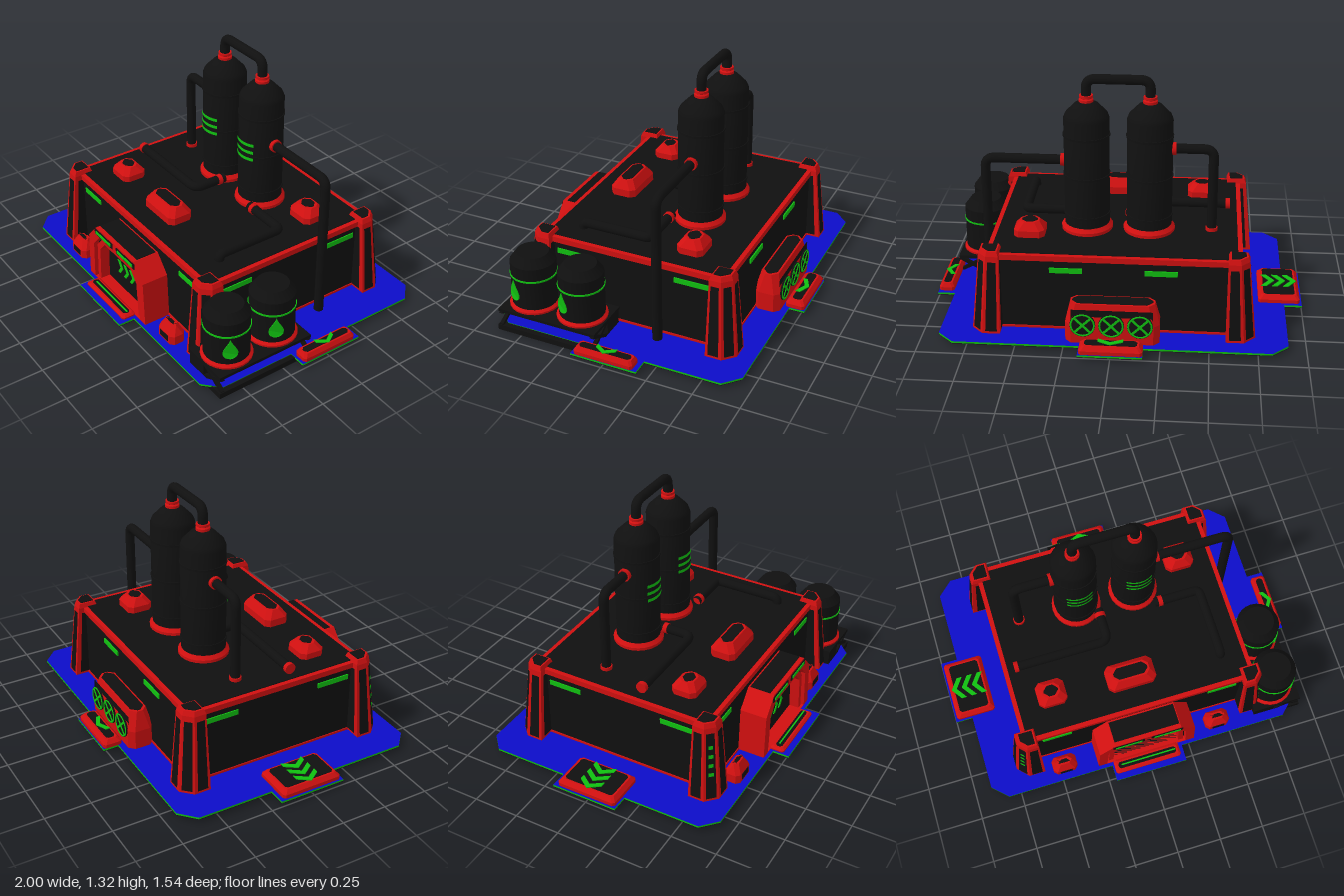
import * as THREE from 'three';
import { toCreasedNormals } from 'three/addons/utils/BufferGeometryUtils.js';

const paint = (name, color) => Object.assign(new THREE.MeshStandardMaterial({ color }), { name });

export function createModel() {
  const black = paint('black', 0x101010), red = paint('red', 0xd01010);
  const green = paint('green', 0x10c010), blue = paint('blue', 0x0c0cc8);
  const model = new THREE.Group();
  model.name = 'refinery';

  const add = (name, geo, mat, x = 0, y = 0, z = 0, parent = model) => {
    const m = new THREE.Mesh(geo, mat);
    m.name = name;
    m.position.set(x, y, z);
    parent.add(m);
    return m;
  };
  // box given by its limits
  const box = (name, mat, x0, x1, y0, y1, z0, z1) =>
    add(name, new THREE.BoxGeometry(x1 - x0, y1 - y0, z1 - z0), mat, (x0 + x1) / 2, (y0 + y1) / 2, (z0 + z1) / 2);
  // flat-shaded solid through stacked rings, counter-clockwise from above
  const loft = (rings) => {
    const p = [], n = rings[0].length, last = rings[rings.length - 1];
    const tri = (a, b, c) => p.push(...a, ...b, ...c);
    for (let i = 0; i + 1 < rings.length; i++) for (let j = 0; j < n; j++) {
      const k = (j + 1) % n, a = rings[i], b = rings[i + 1];
      tri(a[j], a[k], b[k]);
      tri(a[j], b[k], b[j]);
    }
    for (let j = 1; j + 1 < n; j++) {
      tri(last[0], last[j], last[j + 1]);
      tri(rings[0][0], rings[0][j + 1], rings[0][j]);
    }
    const g = new THREE.BufferGeometry();
    g.setAttribute('position', new THREE.Float32BufferAttribute(p, 3));
    g.computeVertexNormals();
    return g;
  };
  // rectangle with cut corners
  const ring = (x0, x1, z0, z1, y, c) => [[x1 - c, z1], [x1, z1 - c], [x1, z0 + c], [x1 - c, z0],
    [x0 + c, z0], [x0, z0 + c], [x0, z1 - c], [x0 + c, z1]].map(([x, z]) => [x, y, z]);
  // bevelled red block with a black lid
  const block = (name, x0, x1, z0, z1, y0, y1, e = 0.03, c = 0.025) => {
    const shrink = (d, y) => ring(x0 + d, x1 - d, z0 + d, z1 - d, y, c);
    add(name, loft([shrink(0, y0), shrink(0, y0 + (y1 - y0) * 0.5), shrink(e, y1)]), red);
    add(name + 'Lid', loft([shrink(e + 0.01, y1 - 0.002), shrink(e + 0.01, y1 + 0.003)]), black);
  };
  const shapeOf = (pts) => new THREE.Shape(pts.map(([x, y]) => new THREE.Vector2(x, y)));
  const extrude = (shape, depth) => new THREE.ExtrudeGeometry(shape, { depth, bevelEnabled: false, curveSegments: 8 });
  const chevron = (w, h, t) => extrude(shapeOf([[-w / 2, -h / 2], [t - w / 2, -h / 2], [w / 2, 0],
    [t - w / 2, h / 2], [-w / 2, h / 2], [w / 2 - t, 0]]), 0.005);
  // chevron lying flat, pointing along the given heading
  const floorChevron = (x, y, z, heading, w, h, t) =>
    add('rampChevron', chevron(w, h, t).rotateX(-Math.PI / 2).rotateY(heading), green, x, y, z);
  const lathe = (pts, seg = 24) =>
    toCreasedNormals(new THREE.LatheGeometry(pts.map(([r, y]) => new THREE.Vector2(r, y)), seg), 0.5);
  // pipe with rounded corners
  const pipe = (name, pts, r = 0.026, bend = 0.05) => {
    const v = pts.map((p) => new THREE.Vector3(...p)), path = new THREE.CurvePath();
    let from = v[0];
    for (let i = 1; i < v.length; i++) {
      if (i === v.length - 1) { path.add(new THREE.LineCurve3(from, v[i])); break; }
      const a = v[i].clone().add(v[i - 1].clone().sub(v[i]).setLength(bend));
      const b = v[i].clone().add(v[i + 1].clone().sub(v[i]).setLength(bend));
      path.add(new THREE.LineCurve3(from, a));
      path.add(new THREE.QuadraticBezierCurve3(a, v[i], b));
      from = b;
    }
    add(name, new THREE.TubeGeometry(path, 72, r, 12), black);
  };
  const collar = (x, y, z, axis, r = 0.034) => {
    const m = add('pipeCollar', new THREE.CylinderGeometry(r, r, 0.024, 14), red, x, y, z);
    if (axis === 'x') m.rotation.z = Math.PI / 2;
    if (axis === 'z') m.rotation.x = Math.PI / 2;
  };

  // ground plate: blue top, green rim, black underside
  const outline = shapeOf([[-0.82, -0.68], [-0.21, -0.68], [-0.21, -0.77], [0.205, -0.77], [0.205, -0.68],
    [0.82, -0.68], [0.905, -0.6], [0.905, -0.175], [1, -0.175], [1, 0.195], [0.905, 0.195], [0.905, 0.61],
    [0.82, 0.69], [0.165, 0.69], [0.165, 0.775], [-0.165, 0.775], [-0.165, 0.69], [-0.82, 0.69],
    [-0.905, 0.61], [-0.905, 0.195], [-1, 0.195], [-1, -0.175], [-0.905, -0.175], [-0.905, -0.6]]);
  add('groundPlate', extrude(outline, 0.01).rotateX(-Math.PI / 2), [blue, green], 0, 0.028);
  add('groundUnderside', extrude(outline, 0.002).rotateX(-Math.PI / 2), black, 0, 0.0255);

  // main building
  box('walls', black, -0.645, 0.645, 0.038, 0.44, -0.52, 0.51);
  box('wallFoot', red, -0.65, 0.65, 0.038, 0.05, -0.525, 0.515);
  box('roofTrim', red, -0.66, 0.66, 0.435, 0.465, -0.53, 0.52);
  box('roof', black, -0.635, 0.635, 0.46, 0.469, -0.505, 0.495);

  // light strips on the walls
  for (const s of [-1, 1]) {
    const strip = (x, z, w, d) => box('lightStrip', green, x - w / 2, x + w / 2, 0.367, 0.395, z - d / 2, z + d / 2);
    strip(s * 0.474, 0.511, 0.165, 0.008);
    strip(s * 0.245, -0.523, 0.17, 0.008);
    for (const z of [-0.335, 0.335]) strip(s * 0.647, z, 0.008, 0.19);
  }

  // sloping corner pillars with inset panels and front lights
  const facePanel = (name, a, b, j, u0, u1, v0, v1, mat, off) => {
    const k = (j + 1) % a.length, V = (p) => new THREE.Vector3(...p);
    const at = (u, v) => V(a[j]).lerp(V(a[k]), u).lerp(V(b[j]).lerp(V(b[k]), u), v);
    const q = [at(u0, v0), at(u1, v0), at(u1, v1), at(u0, v1)];
    const n = q[1].clone().sub(q[0]).cross(q[3].clone().sub(q[0])).setLength(off);
    q.forEach((p) => p.add(n));
    const g = new THREE.BufferGeometry().setFromPoints([q[0], q[1], q[2], q[0], q[2], q[3]]);
    g.computeVertexNormals();
    add(name, g, mat);
  };
  for (const sx of [-1, 1]) for (const sz of [-1, 1]) {
    const flip = sx * sz < 0;
    const section = (ox, oz, c, y, i = 0) => {
      const ix = 0.585 + i, iz = 0.45 + i;
      const r = [[ox - c, oz], [ox, oz - c], [ox, iz], [ix, iz], [ix, oz]].map(([x, z]) => [sx * x, y, sz * z]);
      return flip ? r.reverse() : r;
    };
    const foot = section(0.738, 0.6, 0.06, 0.038), head = section(0.695, 0.56, 0.045, 0.465);
    add('cornerPillar', loft([foot, head, section(0.685, 0.55, 0.04, 0.49, 0.008)]), red);
    add('pillarCap', loft([section(0.675, 0.54, 0.035, 0.488, 0.016), section(0.675, 0.54, 0.035, 0.494, 0.016)]), black);
    const corner = flip ? 3 : 0;
    for (let j = 0; j < 5; j++) facePanel('pillarPanel', foot, head, j, 0.17, 0.83, 0.03, 0.93, black, 0.002);
    if (sz > 0) for (let i = 0; i < 4; i++)
      facePanel('pillarLight', foot, head, corner, 0.32, 0.68, 0.34 + i * 0.125, 0.39 + i * 0.125, green, 0.004);
  }

  // entrance: nested arches, door and step
  const archPts = (w, h, c) => [[-w, 0.038], [w, 0.038], [w - 0.01, h - c], [w - c, h], [c - w, h], [0.01 - w, h - c]];
  const arch = (name, w, h, c, w2, h2, c2, z0, z1, mat) => {
    const s = shapeOf(archPts(w, h, c));
    s.holes.push(new THREE.Path(archPts(w2, h2, c2).reverse().map(([x, y]) => new THREE.Vector2(x, y + (y < 0.05 ? 0.001 : 0)))));
    add(name, extrude(s, z1 - z0), mat, 0, 0, z0);
  };
  arch('outerArch', 0.285, 0.39, 0.095, 0.235, 0.34, 0.075, 0.5, 0.66, red);
  arch('archGap', 0.236, 0.341, 0.076, 0.222, 0.328, 0.07, 0.5, 0.63, black);
  arch('innerArch', 0.223, 0.329, 0.07, 0.195, 0.3, 0.06, 0.5, 0.645, red);
  add('door', extrude(shapeOf(archPts(0.2, 0.305, 0.06)), 0.09), black, 0, 0, 0.5);
  box('archRoof', black, -0.185, 0.185, 0.386, 0.394, 0.52, 0.635);
  for (const s of [-1, 1]) {
    box('archPlate', black, s * 0.11 - 0.09, s * 0.11 + 0.09, 0.347, 0.38, 0.657, 0.664);
    box('archLight', green, s * 0.11 - 0.075, s * 0.11 + 0.075, 0.355, 0.372, 0.66, 0.668);
  }
  for (let i = -1; i <= 1; i++) add('doorChevron', chevron(0.05, 0.08, 0.022), green, i * 0.06 - 0.005, 0.17, 0.59);
  block('frontStep', -0.2, 0.185, 0.655, 0.735, 0.036, 0.055, 0.012, 0.01);
  box('stepLight', green, -0.16, 0.16, 0.057, 0.061, 0.69, 0.698);

  // low vents beside the entrance
  for (const [x0, x1] of [[-0.54, -0.4], [0.368, 0.508]]) {
    block('groundVent', x0, x1, 0.55, 0.64, 0.036, 0.14, 0.025, 0.02);
    box('ventGrille', black, x0 + 0.035, x1 - 0.035, 0.05, 0.085, 0.637, 0.643);
  }

  // ramps on three sides
  block('leftRamp', -0.99, -0.765, -0.175, 0.165, 0.036, 0.078, 0.018, 0.012);
  for (let i = 0; i < 3; i++) floorChevron(-0.94 + i * 0.06, 0.081, -0.005, Math.PI, 0.075, 0.125, 0.03);
  block('rightRamp', 0.915, 0.998, -0.17, 0.16, 0.036, 0.078, 0.012, 0.012);
  floorChevron(0.957, 0.081, -0.005, 0, 0.06, 0.11, 0.024);
  block('backRamp', -0.165, 0.16, -0.77, -0.665, 0.036, 0.08, 0.018, 0.012);
  floorChevron(0, 0.083, -0.715, Math.PI / 2, 0.055, 0.13, 0.025);

  // rear fan housing
  block('fanHousing', -0.245, 0.24, -0.655, -0.51, 0.036, 0.25, 0.025, 0.03);
  box('fanPanel', black, -0.212, 0.207, 0.075, 0.225, -0.645, -0.65);
  for (let i = -1; i <= 1; i++) {
    const fan = new THREE.Group();
    fan.name = 'fan';
    fan.position.set(i * 0.147, 0.145, -0.657);
    model.add(fan);
    add('fanDisc', new THREE.CylinderGeometry(0.066, 0.066, 0.01, 20).rotateX(Math.PI / 2), black, 0, 0, 0, fan);
    add('fanRing', new THREE.TorusGeometry(0.06, 0.006, 6, 20), green, 0, 0, -0.003, fan);
    for (const a of [1, -1])
      add('fanBlade', new THREE.BoxGeometry(0.115, 0.012, 0.006), green, 0, 0, -0.005, fan).rotation.z = a * Math.PI / 4;
  }

  // roof units
  block('roofUnit', -0.135, 0.135, 0.245, 0.39, 0.465, 0.555);
  block('roofUnit', -0.522, -0.362, 0.225, 0.365, 0.465, 0.54);
  block('roofUnit', 0.378, 0.54, -0.34, -0.195, 0.465, 0.545);

  // twin tanks
  for (const x of [-0.165, 0.165]) {
    add('tankFoot', lathe([[0.12, 0.465], [0.137, 0.465], [0.137, 0.485], [0.12, 0.505]]), red, x, 0, -0.17);
    add('tank', lathe([[0.12, 0.465], [0.12, 1.09], [0.11, 1.115], [0.062, 1.165], [0.035, 1.178], [0, 1.178]]), black, x, 0, -0.17);
    for (const y of [0.56, 0.78, 1.0]) add('tankBand', lathe([[0.12, -0.006], [0.124, -0.006], [0.124, 0.006], [0.12, 0.006]]), black, x, y, -0.17);
    for (const y of [0.77, 0.812, 0.855])
      add('tankLight', new THREE.CylinderGeometry(0.125, 0.125, 0.018, 10, 1, true, -0.6, 1.2), green, x, y, -0.17);
    add('tankNeck', lathe([[0.03, 1.17], [0.038, 1.175], [0.038, 1.19], [0.03, 1.196], [0.036, 1.2], [0.036, 1.212], [0, 1.212]], 16), red, x, 0, -0.17);
  }

  // pipework
  pipe('topPipe', [[-0.165, 1.19, -0.17], [-0.165, 1.298, -0.17], [0.165, 1.298, -0.17], [0.165, 1.19, -0.17]]);
  pipe('leftPipe', [[-0.27, 0.93, -0.17], [-0.497, 0.93, -0.17], [-0.497, 0.465, -0.17]]);
  pipe('rightPipe', [[0.27, 0.85, -0.17], [0.702, 0.85, -0.17], [0.702, 0.036, -0.17]]);
  pipe('leftRoofPipe', [[-0.06, 0.5, -0.09], [-0.06, 0.5, 0.1], [-0.59, 0.5, 0.1]]);
  pipe('rightRoofPipe', [[0.25, 0.5, -0.04], [0.512, 0.5, -0.04], [0.512, 0.5, 0.345], [0.512, 0.465, 0.345]], 0.026, 0.03);
  collar(-0.29, 0.93, -0.17, 'x');
  collar(0.29, 0.85, -0.17, 'x');
  collar(-0.06, 0.5, -0.055, 'z', 0.03);
  collar(-0.585, 0.5, 0.1, 'x', 0.03);
  collar(0.285, 0.5, -0.04, 'x', 0.03);
  collar(-0.497, 0.475, -0.17, 'y', 0.032);

  // braced pallet for the barrels
  box('palletBase', black, 0.645, 0.935, 0.004, 0.035, 0.068, 0.64);
  box('palletTop', black, 0.655, 0.93, 0.115, 0.132, 0.072, 0.635);
  box('palletCore', black, 0.66, 0.78, 0.03, 0.12, 0.075, 0.63);
  for (const z of [0.085, 0.62]) for (const s of [-1, 1])
    add('palletBrace', new THREE.BoxGeometry(0.17, 0.018, 0.02), black, 0.855, 0.076, z).rotation.z = s * 0.5;

  // barrels with drop emblem turned towards the front corner
  const drop = new THREE.Shape();
  drop.moveTo(0, 0.068);
  drop.bezierCurveTo(0.01, 0.035, 0.038, 0.01, 0.038, -0.015);
  drop.bezierCurveTo(0.038, -0.06, -0.038, -0.06, -0.038, -0.015);
  drop.bezierCurveTo(-0.038, 0.01, -0.01, 0.035, 0, 0.068);
  for (const z of [0.215, 0.495]) {
    add('barrelFoot', lathe([[0.118, 0.13], [0.134, 0.13], [0.134, 0.142], [0.118, 0.155]]), red, 0.787, 0, z);
    add('barrel', lathe([[0.12, 0.13], [0.12, 0.395], [0.085, 0.442], [0, 0.442]]), black, 0.787, 0, z);
    add('barrelBand', lathe([[0.119, 0.317], [0.124, 0.317], [0.124, 0.326], [0.119, 0.326]]), green, 0.787, 0, z);
    const g = extrude(drop, 0.006), p = g.attributes.position;
    for (let i = 0; i < p.count; i++) { // wrap onto the barrel
      const a = p.getX(i) / 0.12, r = 0.121 + p.getZ(i);
      p.setXYZ(i, Math.sin(a) * r, p.getY(i), Math.cos(a) * r);
    }
    g.computeVertexNormals();
    add('barrelDrop', g, green, 0.787, 0.24, z).rotation.y = Math.PI / 2 - 0.47;
  }
  return model;
}
